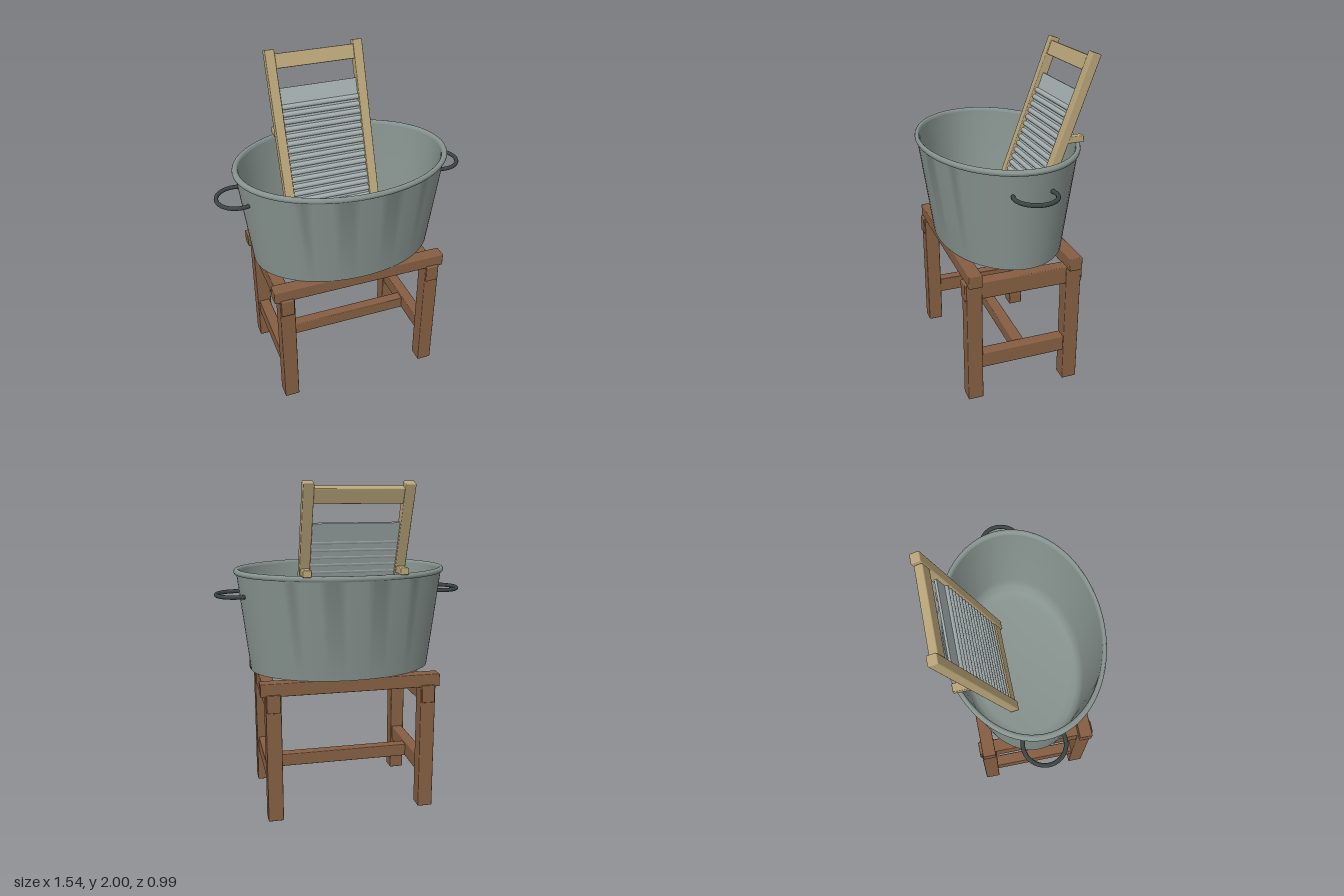
import * as THREE from 'three';
import { toCreasedNormals } from 'three/addons/utils/BufferGeometryUtils.js';
import { RoundedBoxGeometry } from 'three/addons/geometries/RoundedBoxGeometry.js';

const mat = (color) => new THREE.MeshStandardMaterial({ color });
const brown = mat(0x855e42), tan = mat(0xb8a478), zinc = mat(0x87938f);
const sheetMetal = mat(0xa3adad), iron = mat(0x3c4444);
const Z0 = 0.025; // middle of tub and stand

function add(parent, name, geometry, material, x = 0, y = 0, z = 0) {
  const mesh = new THREE.Mesh(geometry, material);
  mesh.name = name;
  mesh.position.set(x, y, z);
  parent.add(mesh);
  return mesh;
}

// Wooden bar with slightly eased edges
const bar = (w, h, d) => new RoundedBoxGeometry(w, h, d, 1, 0.006);

function createStand() {
  const stand = new THREE.Group();
  stand.name = 'stand';
  for (const sz of [-1, 1]) {
    const z = sz * 0.308;
    for (const sx of [-1, 1]) add(stand, 'leg', bar(0.092, 0.79, 0.094), brown, sx * 0.47, 0.395, z);
    add(stand, 'topRail', bar(1.09, 0.08, 0.08), brown, 0, 0.82, z);
  }
  for (const sx of [-1, 1]) {
    add(stand, 'endRail', bar(0.08, 0.108, 0.73), brown, sx * 0.47, 0.739, 0);
    add(stand, 'endStretcher', bar(0.07, 0.1, 0.54), brown, sx * 0.47, 0.258, 0);
  }
  add(stand, 'longStretcher', bar(0.9, 0.08, 0.07), brown, 0, 0.25, 0);
  return stand;
}

function createTub() {
  const tub = new THREE.Group();
  tub.name = 'tub';
  const profile = [
    // underside, foot ring and outer wall
    [0, 0.875], [0.545, 0.875], [0.545, 0.86], [0.563, 0.86], [0.634, 1.455],
  ];
  // rolled rim
  for (let i = 0; i <= 10; i++) {
    const a = -0.9 + (i / 10) * 4.2;
    profile.push([0.632 + 0.018 * Math.cos(a), 1.467 + 0.018 * Math.sin(a)]);
  }
  // inner wall, rounded corner and floor
  profile.push([0.612, 1.44], [0.56, 0.99], [0.545, 0.93], [0.51, 0.9], [0.45, 0.89], [0, 0.887]);
  const geo = new THREE.LatheGeometry(profile.map(([r, y]) => new THREE.Vector2(r, y)), 72);
  // flatten the round into an oval, a little narrower at the base
  const p = geo.attributes.position;
  for (let i = 0; i < p.count; i++) {
    const t = (p.getY(i) - 0.86) / 0.62;
    p.setZ(i, p.getZ(i) * THREE.MathUtils.lerp(0.667, 0.723, t));
  }
  add(tub, 'basin', toCreasedNormals(geo, 0.8), zinc);

  // Bent rod handles entering the wall at both ends
  const sweep = 4.0;
  for (const sx of [-1, 1]) {
    const ring = new THREE.TorusGeometry(0.12, 0.0125, 10, 36, sweep);
    ring.rotateZ(-sweep / 2).rotateX(Math.PI / 2);
    if (sx < 0) ring.rotateY(Math.PI);
    add(tub, 'handle', ring, iron, sx * 0.638, 1.332, 0);
  }
  return tub;
}

function createWashboard() {
  const board = new THREE.Group();
  board.name = 'washboard';
  // y runs up the board, z = 0 is its front face
  for (const sx of [-1, 1]) add(board, 'sideRail', bar(0.06, 1.15, 0.058), tan, sx * 0.278, 0.575, -0.029);
  add(board, 'topCrossbar', bar(0.5, 0.088, 0.05), tan, 0, 1.08, -0.029);
  add(board, 'bottomCrossbar', bar(0.5, 0.085, 0.05), tan, 0, 0.07, -0.029);
  add(board, 'backSheet', new THREE.BoxGeometry(0.5, 0.82, 0.014), sheetMetal, 0, 0.51, -0.032);
  const ridge = new THREE.CylinderGeometry(0.016, 0.016, 0.51, 12).rotateZ(Math.PI / 2);
  for (let i = 0; i < 16; i++) add(board, 'ridge', ridge, sheetMetal, 0, 0.13 + i * 0.045, -0.025);
  board.position.set(0, 0.919, -0.048);
  board.rotation.x = -THREE.MathUtils.degToRad(20);
  return board;
}

export function createModel() {
  const model = new THREE.Group();
  model.name = 'washtub';
  const base = new THREE.Group();
  base.name = 'tubOnStand';
  base.position.z = Z0;
  base.add(createStand(), createTub());
  model.add(base, createWashboard());
  // Pegs behind the board that rest on the rim
  for (const sx of [-1, 1]) add(model, 'restPeg', bar(0.05, 0.04, 0.12), tan, sx * 0.278, 1.5, -0.355);
  return model;
}
